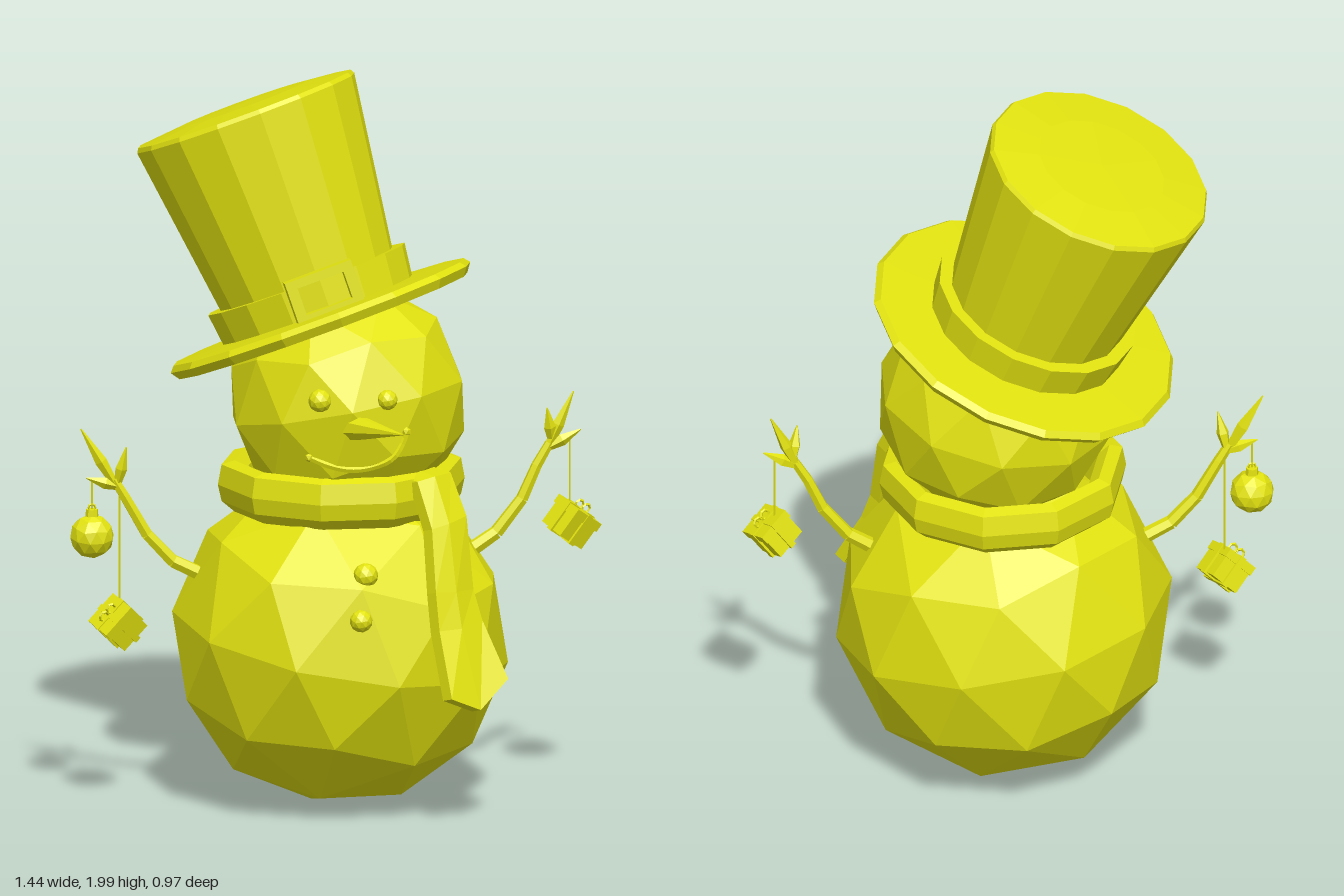
import * as THREE from 'three';

const V = (x, y, z) => new THREE.Vector3(x, y, z);
const yellow = new THREE.MeshStandardMaterial({ color: 0xe3e310 });
yellow.name = 'yellow';

// Faceted mesh: every face gets its own normal
function part(name, geometry, parent, pos = [0, 0, 0], rot = [0, 0, 0]) {
  const flat = geometry.index ? geometry.toNonIndexed() : geometry;
  flat.computeVertexNormals();
  const mesh = new THREE.Mesh(flat, yellow);
  mesh.name = name;
  mesh.position.set(...pos);
  mesh.rotation.set(...rot);
  parent.add(mesh);
  return mesh;
}

const lathe = (points, sides) =>
  new THREE.LatheGeometry(points.map(p => new THREE.Vector2(...p)), sides);

// Icosphere with a vertex at its pole
const ball = (r, detail = 1) => new THREE.IcosahedronGeometry(r, detail).rotateZ(-0.5536);

// Tapered rod from a to b
function rod(name, parent, a, b, ra, rb, sides = 6) {
  const dir = b.clone().sub(a);
  const mesh = part(name, new THREE.CylinderGeometry(rb, ra, dir.length(), sides), parent);
  mesh.position.copy(a).add(b).multiplyScalar(0.5);
  mesh.quaternion.setFromUnitVectors(V(0, 1, 0), dir.normalize());
  return mesh;
}

// Front surface point of a mesh at the given x and y
function onFront(mesh, x, y) {
  mesh.updateMatrixWorld(true);
  const hit = new THREE.Raycaster(V(x, y, 3), V(0, 0, -1)).intersectObject(mesh)[0];
  return hit ? hit.point : V(x, y, 0);
}

// Hanging gift box with ribbons and a bow
function gift(name, parent, pos, rot) {
  const g = new THREE.Group();
  g.name = name;
  g.position.set(...pos);
  g.rotation.set(...rot);
  parent.add(g);
  part('giftBox', new THREE.BoxGeometry(0.092, 0.08, 0.092), g);
  part('giftLid', new THREE.BoxGeometry(0.1, 0.025, 0.1), g, [0, 0.034, 0]);
  part('ribbon', new THREE.BoxGeometry(0.018, 0.094, 0.105), g, [0, 0.002, 0]);
  part('ribbon', new THREE.BoxGeometry(0.105, 0.094, 0.018), g, [0, 0.002, 0]);
  for (const s of [-1, 1])
    part('bowLoop', new THREE.TorusGeometry(0.013, 0.004, 4, 7), g, [s * 0.014, 0.056, 0], [0, 0, s * 0.5]);
}

// Stick arm from a list of joints, with pointed twigs
function arm(name, parent, joints, twigs) {
  const g = new THREE.Group();
  g.name = name;
  parent.add(g);
  for (let i = 0; i < joints.length - 1; i++)
    rod('branch', g, V(...joints[i]), V(...joints[i + 1]), 0.021 - i * 0.002, 0.019 - i * 0.002);
  for (const [a, b] of twigs) {
    const start = V(...a), end = V(...b), mid = start.clone().lerp(end, 0.4);
    rod('twig', g, start, mid, 0.011, 0.017, 5);
    rod('twigTip', g, mid, end, 0.017, 0.002, 5);
  }
}

// Scarf end: rows of left, middle and right points, given thickness
function scarfTail() {
  const rows = [
    [[0.13, 0.93, 0.14], [0.17, 0.945, 0.11], [0.22, 0.945, 0.08]],
    [[0.17, 0.93, 0.23], [0.22, 0.94, 0.215], [0.27, 0.94, 0.17]],
    [[0.2, 0.81, 0.29], [0.25, 0.82, 0.27], [0.305, 0.83, 0.22]],
    [[0.2, 0.65, 0.355], [0.26, 0.645, 0.33], [0.315, 0.64, 0.275]],
    [[0.205, 0.55, 0.385], [0.27, 0.55, 0.36], [0.335, 0.56, 0.3]],
    [[0.225, 0.38, 0.47], [0.31, 0.34, 0.43], [0.395, 0.41, 0.365]],
  ];
  const pos = [], idx = [], n = rows.length;
  const out = V(0.5, 0.25, 0.83).multiplyScalar(0.019);
  // Each ring: three outer points, then three inner points back
  for (const row of rows)
    for (let k = 0; k < 6; k++) {
      const p = V(...row[k < 3 ? k : 5 - k]);
      if (k < 3) p.add(out); else p.sub(out);
      pos.push(p.x, p.y, p.z);
    }
  for (let i = 0; i < n - 1; i++)
    for (let k = 0; k < 6; k++) {
      const a = i * 6 + k, b = i * 6 + (k + 1) % 6;
      idx.push(a, a + 6, b, b, a + 6, b + 6);
    }
  const e = (n - 1) * 6;
  idx.push(0, 1, 5, 1, 4, 5, 1, 2, 4, 2, 3, 4);
  idx.push(e, e + 5, e + 1, e + 1, e + 5, e + 4, e + 1, e + 4, e + 2, e + 2, e + 4, e + 3);
  const g = new THREE.BufferGeometry();
  g.setAttribute('position', new THREE.Float32BufferAttribute(pos, 3));
  g.setIndex(idx);
  return g;
}

export function createModel() {
  const model = new THREE.Group();
  model.name = 'snowman';

  // Snowballs
  const body = part('body', ball(0.458), model, [0.015, 0.458, -0.04], [0.12, 0.2, -0.16]);
  const head = part('head', ball(0.325), model, [0.035, 1.11, -0.035], [-0.2, 0.5, 0.2]);

  // Eyes and coat buttons
  for (const [name, x, y, r, on] of [
    ['rightEye', -0.085, 1.165, 0.032, head], ['leftEye', 0.095, 1.165, 0.028, head],
    ['upperButton', 0.025, 0.7, 0.034, body], ['lowerButton', 0.005, 0.585, 0.031, body],
  ]) part(name, ball(r), model, onFront(on, x, y).toArray(), [0.4, 0.3, 0.2]);

  // Nose
  rod('nose', model, V(0, 1.09, 0.24), V(0.11, 1.105, 0.44), 0.04, 0.001, 8);

  // Smile laid along the face
  const smile = [[-0.11, 1.005], [-0.06, 0.985], [0, 0.973], [0.06, 0.98], [0.11, 1.005], [0.14, 1.05], [0.148, 1.075]]
    .map(([x, y]) => onFront(head, x, y));
  part('smile', new THREE.TubeGeometry(new THREE.CatmullRomCurve3(smile), 18, 0.009, 5), model);
  for (const p of [smile[0], smile[6]])
    part('smileEnd', ball(0.013, 0), model, p.toArray());

  // Scarf
  part('scarfRing', lathe([
    [0.25, -0.06], [0.29, -0.075], [0.325, -0.045], [0.335, 0], [0.325, 0.055],
    [0.29, 0.065], [0.26, 0.04], [0.25, -0.06],
  ], 10), model, [0.02, 0.882, -0.05], [0, 0.3, 0]);
  part('scarfTail', scarfTail(), model);

  // Tilted top hat
  const hat = new THREE.Group();
  hat.name = 'topHat';
  hat.position.set(-0.035, 1.33, -0.06);
  hat.quaternion.setFromUnitVectors(V(0, 1, 0), V(-0.316, 0.929, -0.195).normalize());
  model.add(hat);
  part('brim', lathe([
    [0, -0.02], [0.25, -0.028], [0.415, -0.024], [0.432, 0], [0.418, 0.016], [0.24, 0.022], [0, 0.022],
  ], 16), hat);
  part('crown', lathe([[0.232, 0], [0.25, 0.13], [0.313, 0.585], [0.306, 0.597], [0.18, 0.61], [0, 0.614]], 16), hat);
  part('hatBand', lathe([[0.235, 0.022], [0.272, 0.022], [0.283, 0.11], [0.24, 0.11]], 16), hat);

  // Buckle frame
  const frame = new THREE.Shape([[-0.095, -0.062], [0.095, -0.062], [0.095, 0.062], [-0.095, 0.062]]
    .map(p => new THREE.Vector2(...p)));
  frame.holes.push(new THREE.Path([[-0.066, -0.038], [-0.066, 0.038], [0.066, 0.038], [0.066, -0.038]]
    .map(p => new THREE.Vector2(...p))));
  part('buckle', new THREE.ExtrudeGeometry(frame, { depth: 0.035, bevelEnabled: false }),
    hat, [0, 0.075, 0.262], [0.12, 0, 0]);

  // Arms
  const z = -0.04;
  arm('rightArm', model,
    [[-0.36, 0.64, z], [-0.44, 0.68, z], [-0.51, 0.755, z], [-0.57, 0.86, z], [-0.6, 0.91, z]],
    [[[-0.6, 0.9, z], [-0.69, 1.05, z]], [[-0.59, 0.9, z], [-0.57, 1.0, z + 0.02]], [[-0.59, 0.89, z], [-0.675, 0.915, z]]]);
  arm('leftArm', model,
    [[0.38, 0.69, z], [0.44, 0.73, z], [0.51, 0.82, z], [0.55, 0.91, z], [0.585, 0.97, z]],
    [[[0.58, 0.96, z], [0.65, 1.11, z]], [[0.585, 0.96, z], [0.67, 1.005, z]], [[0.59, 0.98, z], [0.575, 1.07, z + 0.02]]]);

  // Hanging ornaments
  for (const [x, y0, y1] of [[-0.66, 0.83, 0.915], [-0.585, 0.58, 0.9], [0.64, 0.8, 0.99]])
    rod('string', model, V(x, y0, z), V(x, y1, z), 0.0025, 0.0025, 4);
  part('bauble', ball(0.06), model, [-0.66, 0.755, z], [0.2, 0.4, 0]);
  part('baubleCap', new THREE.CylinderGeometry(0.016, 0.018, 0.022, 8), model, [-0.66, 0.818, z]);
  part('baubleRing', new THREE.TorusGeometry(0.009, 0.003, 4, 8), model, [-0.66, 0.834, z]);
  gift('rightGift', model, [-0.587, 0.515, -0.03], [0.25, 0.35, 0.75]);
  gift('leftGift', model, [0.64, 0.75, -0.03], [0.3, 0.4, -0.7]);

  return model;
}
